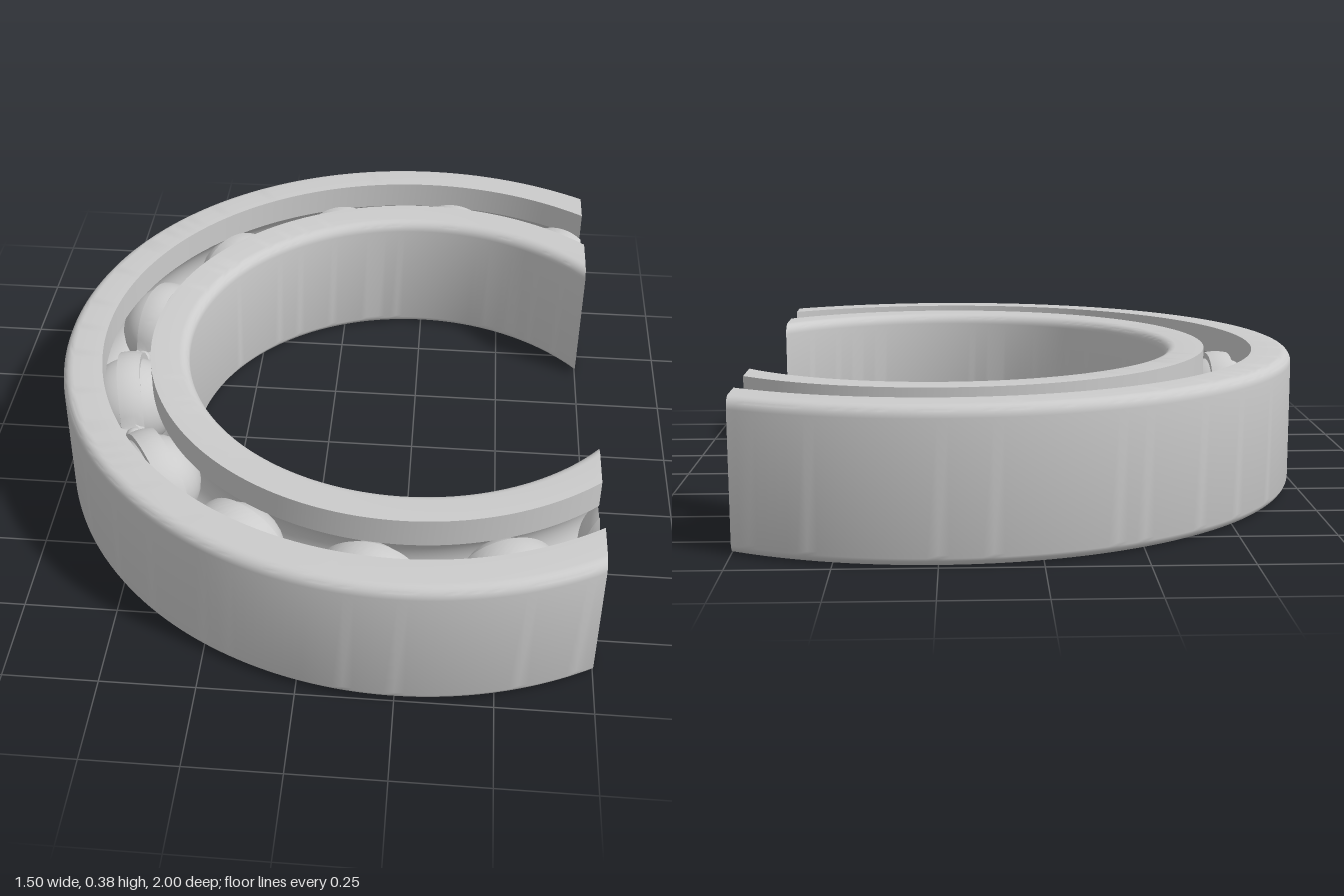
import * as THREE from 'three';
import { mergeGeometries, toCreasedNormals } from 'three/addons/utils/BufferGeometryUtils.js';

const H = 0.385, MID = H / 2;        // bearing height and mid plane
const CUT = 0.5;                     // section plane, measured from the bearing axis
const PITCH = 0.8225, BALL = 0.13;   // ball circle and ball radius
const COUNT = 14, STEP = 2 * Math.PI / COUNT;
const FIRST = THREE.MathUtils.degToRad(83.95);

const material = new THREE.MeshStandardMaterial({ color: 0xcccccc });

// Points along an arc in the (radius, height) plane
function arc(cx, cy, r, a0, a1, n) {
  return Array.from({ length: n + 1 }, (_, i) => {
    const a = a0 + (a1 - a0) * i / n;
    return [cx + r * Math.cos(a), cy + r * Math.sin(a)];
  });
}

// Sweeps a closed counter-clockwise section round the axis, from section plane
// to section plane, and closes both ends. heightAt may bend it along the way.
function cutSweep(profile, segments, heightAt = (x, z, v) => v) {
  const n = profile.length, pos = [], index = [];
  for (let i = 0; i <= segments; i++) {
    for (const [r, v] of profile) {
      const start = Math.acos(CUT / r);
      const a = start + (2 * Math.PI - 2 * start) * i / segments;
      const x = r * Math.cos(a), z = -r * Math.sin(a);
      pos.push(x, heightAt(x, z, v), z);
    }
  }
  for (let i = 0; i < segments; i++) {
    for (let j = 0; j < n; j++) {
      const k = (j + 1) % n;
      const a = i * n + j, b = a + n, c = (i + 1) * n + k, d = i * n + k;
      index.push(a, b, c, a, c, d);
    }
  }
  const body = new THREE.BufferGeometry();
  body.setAttribute('position', new THREE.Float32BufferAttribute(pos, 3));
  body.setIndex(index);
  const parts = [toCreasedNormals(body, 0.5)];
  // flat section faces
  for (const side of [1, -1]) {
    const outline = profile.map(([r, v]) => {
      const z = side * Math.sqrt(r * r - CUT * CUT);
      return new THREE.Vector2(-z, heightAt(CUT, z, v));
    });
    const cap = new THREE.ShapeGeometry(new THREE.Shape(outline)).toNonIndexed();
    cap.deleteAttribute('uv');
    parts.push(cap.rotateY(Math.PI / 2).translate(CUT, 0, 0));
  }
  return mergeGeometries(parts);
}

function onCircle(angle) {
  return new THREE.Vector3(PITCH * Math.cos(angle), MID, -PITCH * Math.sin(angle));
}

// Full ball, or a ball sliced by the section plane with its flat face
function ballGeometry(centreX) {
  const d = CUT - centreX;
  if (d >= BALL) return new THREE.SphereGeometry(BALL, 32, 20);
  const theta = Math.acos(d / BALL);
  const shell = new THREE.SphereGeometry(BALL, 32, 20, 0, Math.PI * 2, theta, Math.PI - theta)
    .rotateZ(-Math.PI / 2);
  const face = new THREE.CircleGeometry(BALL * Math.sin(theta), 32)
    .rotateY(Math.PI / 2).translate(d, 0, 0);
  return mergeGeometries([shell, face]);
}

export function createModel() {
  const model = new THREE.Group();
  model.name = 'ballBearingSection';
  const add = (name, geometry, parent = model) => {
    const mesh = new THREE.Mesh(geometry, material);
    mesh.name = name;
    parent.add(mesh);
    return mesh;
  };
  const { PI } = Math;

  // Races: rounded outside corners and a ball groove
  const groove = BALL + 0.001, f = 0.03;
  const open = Math.acos(0.0675 / groove);
  add('outerRing', cutSweep([
    [0.89, 0],
    ...arc(1 - f, f, f, -PI / 2, 0, 6),
    ...arc(1 - f, H - f, f, 0, PI / 2, 6),
    [0.89, H],
    ...arc(PITCH, MID, groove, open, -open, 20),
  ], 160));
  add('innerRing', cutSweep([
    [0.755, H],
    ...arc(0.645 + f, H - f, f, PI / 2, PI, 6),
    ...arc(0.645 + f, f, f, PI, 1.5 * PI, 6),
    [0.755, 0],
    ...arc(PITCH, MID, groove, PI + open, PI - open, 20),
  ], 160));

  // Balls, leaving out those beyond the section plane
  const balls = new THREE.Group();
  balls.name = 'balls';
  model.add(balls);
  const centres = [];
  for (let i = 0; i < COUNT; i++) {
    const c = onCircle(FIRST + i * STEP);
    centres.push(c);
    if (c.x - BALL < CUT) add('ball', ballGeometry(c.x), balls).position.copy(c);
  }

  // Cage halves: a thin strip domed over every ball
  const sheet = 0.017, inR = 0.79, outR = 0.855, across = 5;
  const lift = (x, z, outer) => {
    const R = outer ? BALL + sheet : BALL;
    let h = outer ? sheet : 0;
    for (const c of centres) {
      const d2 = (x - c.x) ** 2 + (z - c.z) ** 2;
      if (d2 < R * R) h = Math.max(h, Math.sqrt(R * R - d2));
    }
    return h;
  };
  const strip = [];
  for (let i = 0; i <= across; i++) strip.push([inR + (outR - inR) * i / across, 0]);
  for (let i = across; i >= 0; i--) strip.push([inR + (outR - inR) * i / across, 1]);
  for (const s of [1, -1]) {
    const section = s > 0 ? strip : [...strip].reverse();
    add(s > 0 ? 'upperCage' : 'lowerCage',
      cutSweep(section, 560, (x, z, v) => MID + s * lift(x, z, v)));
  }

  // Rivets joining the cage halves between the balls
  const rivets = new THREE.Group();
  rivets.name = 'rivets';
  model.add(rivets);
  const rivet = new THREE.CapsuleGeometry(0.026, 2 * sheet, 6, 16);
  for (let i = 0; i < COUNT; i++) {
    const c = onCircle(FIRST + (i + 0.5) * STEP);
    if (c.x < CUT - 0.03) add('rivet', rivet, rivets).position.copy(c);
  }

  model.position.x = 0.25;
  const root = new THREE.Group();
  root.name = 'bearing';
  root.add(model);
  return root;
}
